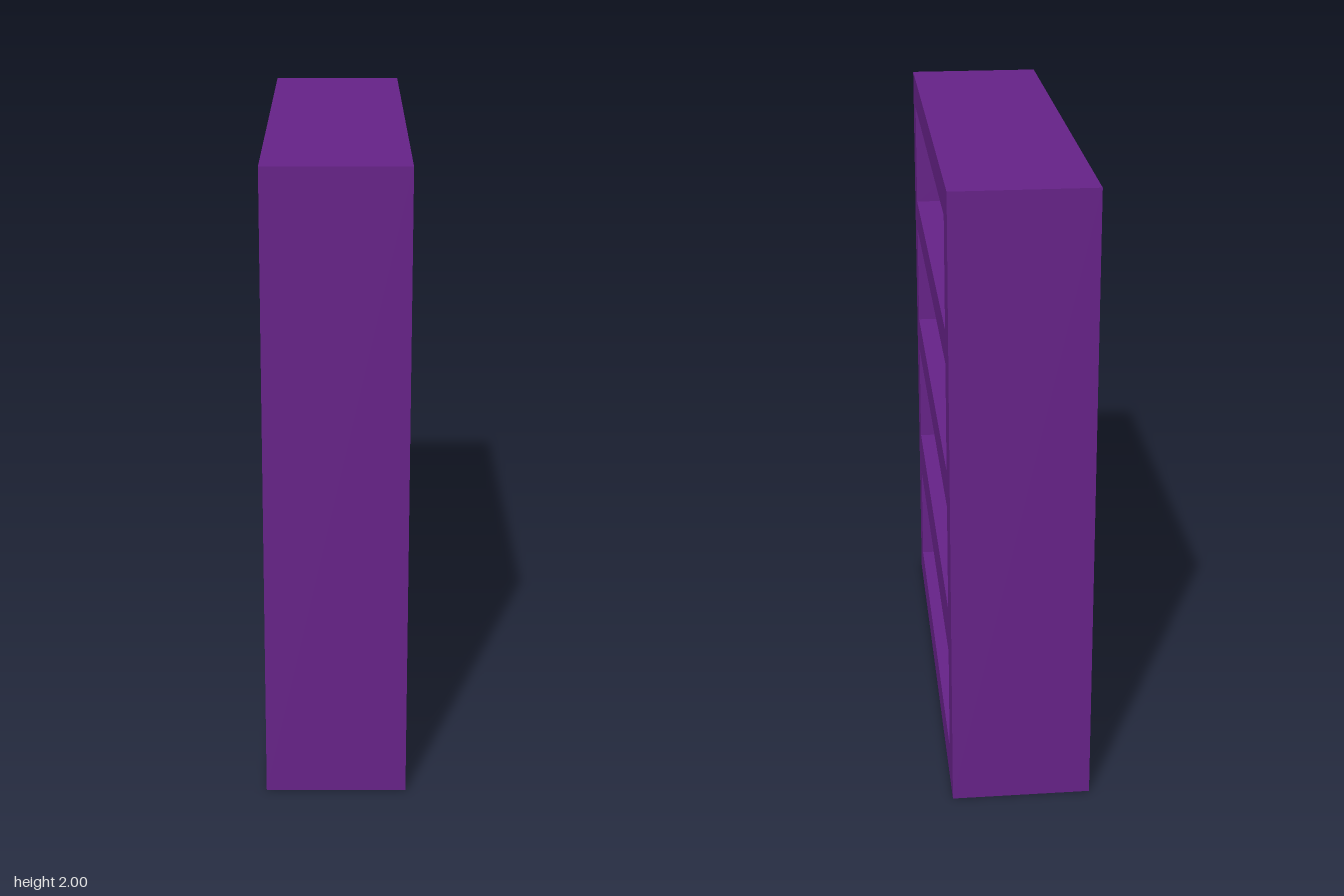
import * as THREE from 'three';

const purple = new THREE.MeshStandardMaterial({ color: 0x662288, flatShading: true });
const gold = new THREE.MeshStandardMaterial({ color: 0xc99b22, flatShading: true });
const amber = new THREE.MeshStandardMaterial({ color: 0xdba03c, flatShading: true });

// Everything is laid out as (u across, y up, w deep) and turned at the end so that w faces +x.
const BOOK = { thick: 0.066, tall: 0.32, deep: 0.245 };
const LEAN = -0.253;

function add(parent, name, geometry, material, x = 0, y = 0, z = 0) {
  const mesh = new THREE.Mesh(geometry, material);
  mesh.name = name;
  mesh.position.set(x, y, z);
  parent.add(mesh);
  return mesh;
}

function polygon(points) {
  return new THREE.Shape(points.map(([x, y]) => new THREE.Vector2(x, y)));
}

function rect(u0, u1, y0, y1) {
  return polygon([[u0, y0], [u1, y0], [u1, y1], [u0, y1]]);
}

function extrude(shape, depth) {
  return new THREE.ExtrudeGeometry(shape, { depth, bevelEnabled: false });
}

// Case: one slab with four openings right through it
function makeCase() {
  const shape = rect(-0.825, 0.825, 0, 2);
  for (const [y0, y1] of [[0.117, 0.467], [0.62, 0.972], [1.092, 1.442], [1.548, 1.897]]) {
    shape.holes.push(rect(-0.705, 0.7, y0, y1));
  }
  return extrude(shape, 0.44).translate(0, 0, -0.22);
}

const bookGeometry = new THREE.BoxGeometry(BOOK.thick, BOOK.tall, BOOK.deep);

function book(parent, name, u, y, angle = 0) {
  add(parent, name, bookGeometry, gold, u, y, 0).rotation.z = angle;
}

// Row of upright books, starting at the left edge u0
function bookRow(parent, u0, floor, count, pitch = 0.069) {
  for (let i = 0; i < count; i++) {
    book(parent, 'uprightBook', u0 + pitch * i + BOOK.thick / 2, floor + BOOK.tall / 2);
  }
}

// Small desktop monitor ornament
function makeMonitor() {
  const g = new THREE.Group();
  g.name = 'monitorOrnament';

  // eight-sided foot and neck
  const foot = polygon([[-0.12, -0.075], [-0.08, -0.115], [0.08, -0.115], [0.12, -0.075],
    [0.12, 0.075], [0.08, 0.115], [-0.08, 0.115], [-0.12, 0.075]]);
  add(g, 'monitorFoot', extrude(foot, 0.03).rotateX(-Math.PI / 2), amber);
  add(g, 'monitorNeck', new THREE.BoxGeometry(0.11, 0.04, 0.11), amber, 0, 0.045, 0);

  // bezel narrowing at the top, with a screen opening
  const bezel = polygon([[-0.102, 0.065], [0.102, 0.065], [0.102, 0.18], [0.082, 0.262], [-0.082, 0.262], [-0.102, 0.18]]);
  bezel.holes.push(rect(-0.063, 0.063, 0.095, 0.185));
  add(g, 'monitorBezel', extrude(bezel, 0.05), amber, 0, 0, 0.05);
  add(g, 'monitorScreen', new THREE.BoxGeometry(0.126, 0.09, 0.02), amber, 0, 0.14, 0.07);

  // housing tapering towards the back
  const housing = new THREE.BoxGeometry(0.204, 0.215, 0.15);
  const p = housing.attributes.position;
  for (let i = 0; i < p.count; i++) {
    if (p.getZ(i) < 0) p.setXY(i, p.getX(i) * 0.65, p.getY(i) > 0 ? 0.03 : -0.095);
  }
  housing.computeVertexNormals();
  add(g, 'monitorHousing', housing, amber, 0, 0.163, -0.025);
  return g;
}

export function createModel() {
  const model = new THREE.Group();
  model.name = 'bookcase';
  const layout = new THREE.Group();
  layout.name = 'bookcaseLayout';
  layout.rotation.y = Math.PI / 2;
  model.add(layout);

  add(layout, 'case', makeCase(), purple);

  // Upright rows: left edge, shelf height, number of books
  for (const [u, floor, count] of [
    [-0.292, 1.553, 7], [-0.212, 1.092, 13], [-0.294, 0.63, 1], [-0.65, 0.117, 8],
  ]) bookRow(layout, u, floor, count);
  bookRow(layout, 0.482, 0.117, 2, 0.074);

  // Leaning books
  for (const [u, y] of [[-0.446, 1.707], [-0.371, 1.712], [-0.446, 0.782], [-0.37, 0.787], [0.408, 0.274]]) {
    book(layout, 'leaningBook', u, y, LEAN);
  }

  // Books lying flat
  for (const [u, y] of [[0.116, 0.15], [0.116, 0.654], [0.148, 0.72]]) {
    book(layout, 'flatBook', u, y, Math.PI / 2);
  }

  const monitor = makeMonitor();
  monitor.position.set(-0.53, 1.092, 0);
  layout.add(monitor);

  return model;
}
